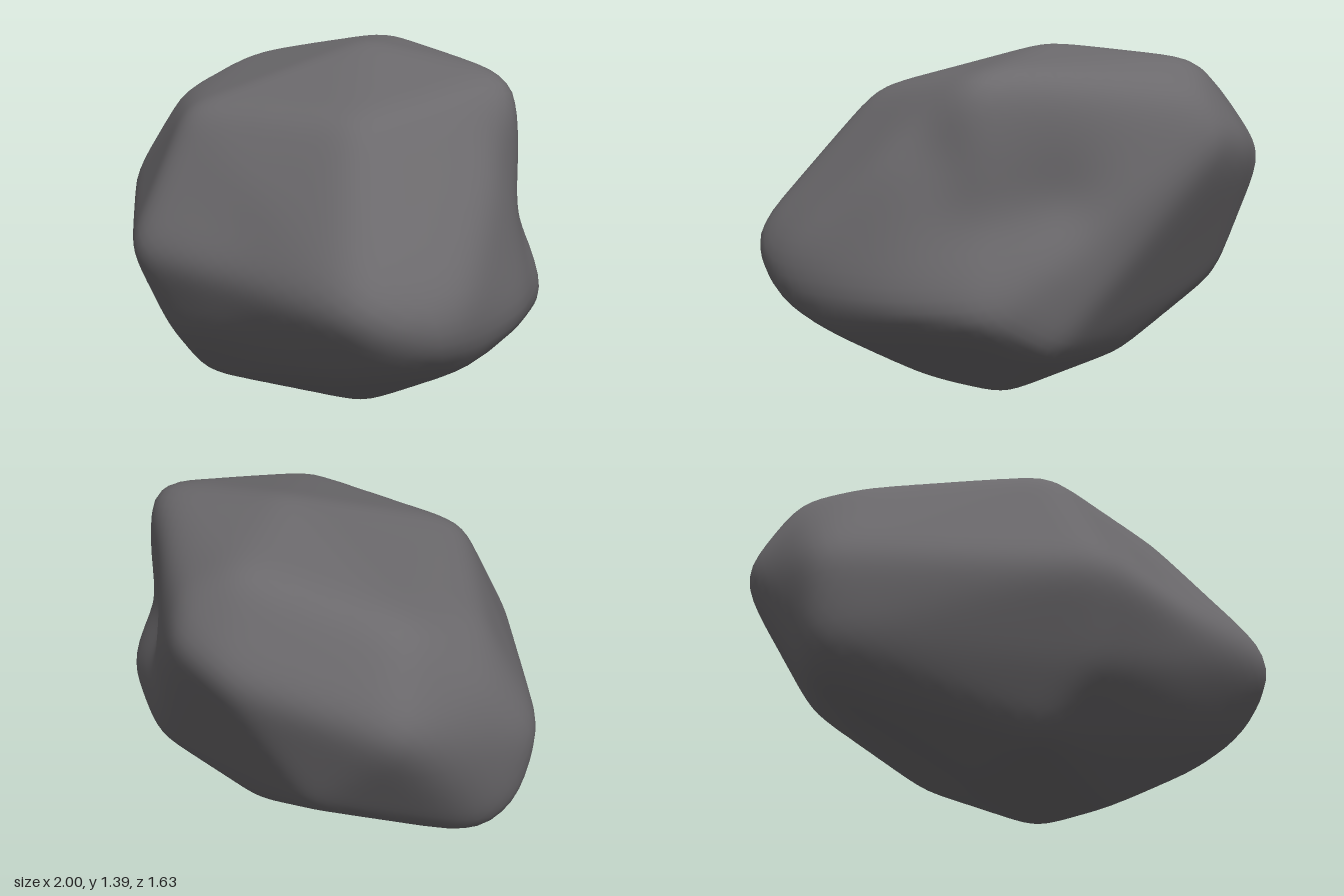
import * as THREE from 'three';
import { mergeVertices } from 'three/addons/utils/BufferGeometryUtils.js';
import { ConvexGeometry } from 'three/addons/geometries/ConvexGeometry.js';

// Points on the surface of the boulder, where its rounded corners lie
const CENTRE = new THREE.Vector3(0, 0.68, 0);
const CORNERS = [
  // top
  [-0.24, 1.17, 0.52], [0.5, 1.2, 0.43], [0.7, 1.28, -0.24], [0.73, 1.21, -0.22], [0.1, 1.39, -0.12],
  [-0.75, 1.1, 0.04], [-0.72, 1.2, -0.36], [-0.17, 1.32, -0.6], [0.02, 1.2, -0.73], [0.38, 1.16, -0.53],
  // widest belt
  [-0.27, 0.68, 0.8], [0.79, 0.64, 0.79], [0.985, 0.65, 0.45], [0.97, 0.47, 0.5],
  [0.96, 0.45, 0.02], [0.82, 0.43, -0.32], [0.55, 0.28, -0.43], [-0.03, 1.04, -0.805],
  [-0.25, 0.99, -0.8], [-0.37, 0.85, -0.74], [-0.85, 0.88, -0.53], [-0.92, 0.95, -0.1],
  [-0.985, 0.7, 0.1], [-0.95, 0.4, 0.05], [-0.87, 0.29, -0.06],
  // underside
  [0.92, 0.35, 0.3], [0.74, 0.36, 0.63], [0.6, 0.17, 0.12], [0.4, 0.06, 0.25], [-0.2, 0.34, 0.69],
  [-0.22, 0.11, 0.48], [-0.2, 0.02, 0.1], [0.26, 0.005, 0], [-0.45, 0.43, -0.55], [0, 0.19, -0.4],
].map((c) => new THREE.Vector3(...c).sub(CENTRE));

// Shallow hollows: direction, depth, width
const HOLLOWS = [
  [[0.5, 0.16, -0.42], 0.06, 0.28],
  [[0.75, 0.1, -0.24], 0.05, 0.24],
  [[0.76, 0.36, -0.1], 0.025, 0.18],
  [[0.28, 0.0, 0.8], 0.025, 0.35],
].map(([dir, depth, width]) => [new THREE.Vector3(...dir).normalize(), depth, width]);

// Outer planes of a faceted block with the given corners
function blockPlanes(points) {
  const p = new ConvexGeometry(points).attributes.position;
  const planes = [];
  for (let i = 0; i < p.count; i += 3) {
    const [a, b, c] = [0, 1, 2].map((k) => new THREE.Vector3().fromBufferAttribute(p, i + k));
    planes.push(new THREE.Plane().setFromCoplanarPoints(a, b, c));
  }
  return planes;
}

// Distance from the centre to the block in one direction
function reach(planes, d) {
  let inv = 0;
  for (const pl of planes) inv = Math.max(inv, pl.normal.dot(d) / -pl.constant);
  return 1 / inv;
}

// The same, averaged over a small cone of directions to round the corners
function roundedReach(planes, d) {
  const u = Math.abs(d.y) > 0.8 ? new THREE.Vector3(1, 0, 0) : new THREE.Vector3(0, 1, 0);
  u.cross(d).normalize();
  const v = new THREE.Vector3().crossVectors(d, u);
  const s = new THREE.Vector3();
  let sum = reach(planes, d), weight = 1;
  for (const [radius, w] of [[0.05, 0.9], [0.1, 0.65], [0.16, 0.4]]) {
    for (let k = 0; k < 12; k++) {
      const a = (k / 12) * Math.PI * 2;
      s.copy(d).addScaledVector(u, radius * Math.cos(a)).addScaledVector(v, radius * Math.sin(a)).normalize();
      sum += reach(planes, s) * w;
      weight += w;
    }
  }
  return sum / weight;
}

function boulderGeometry() {
  // Push the block's corners out until the rounded surface passes through them
  const block = CORNERS.map((c) => c.clone());
  let planes = blockPlanes(block);
  for (let step = 0; step < 8; step++) {
    CORNERS.forEach((c, i) => {
      const ratio = c.length() / roundedReach(planes, c.clone().normalize());
      const grown = (block[i].length() / c.length()) * (1 + 0.7 * (ratio - 1));
      block[i].copy(c).multiplyScalar(THREE.MathUtils.clamp(grown, 0.9, 1.08));
    });
    planes = blockPlanes(block);
  }

  let geo = new THREE.IcosahedronGeometry(1, 22);
  geo.deleteAttribute('normal');
  geo.deleteAttribute('uv');
  geo = mergeVertices(geo, 1e-4);

  const pos = geo.attributes.position;
  const d = new THREE.Vector3();
  for (let i = 0; i < pos.count; i++) {
    d.fromBufferAttribute(pos, i).normalize();
    let r = roundedReach(planes, d);
    for (const [dir, depth, width] of HOLLOWS) r -= depth * Math.exp(-((d.angleTo(dir) / width) ** 2));
    pos.setXYZ(i, d.x * r, d.y * r, d.z * r);
  }
  geo.translate(CENTRE.x, CENTRE.y, CENTRE.z);
  geo.computeVertexNormals();
  return geo;
}

export function createModel() {
  const stone = new THREE.MeshStandardMaterial({ color: 0x6b696c });
  stone.name = 'stone grey';
  const boulder = new THREE.Mesh(boulderGeometry(), stone);
  boulder.name = 'boulder';
  const model = new THREE.Group();
  model.name = 'rock';
  model.add(boulder);
  return model;
}
